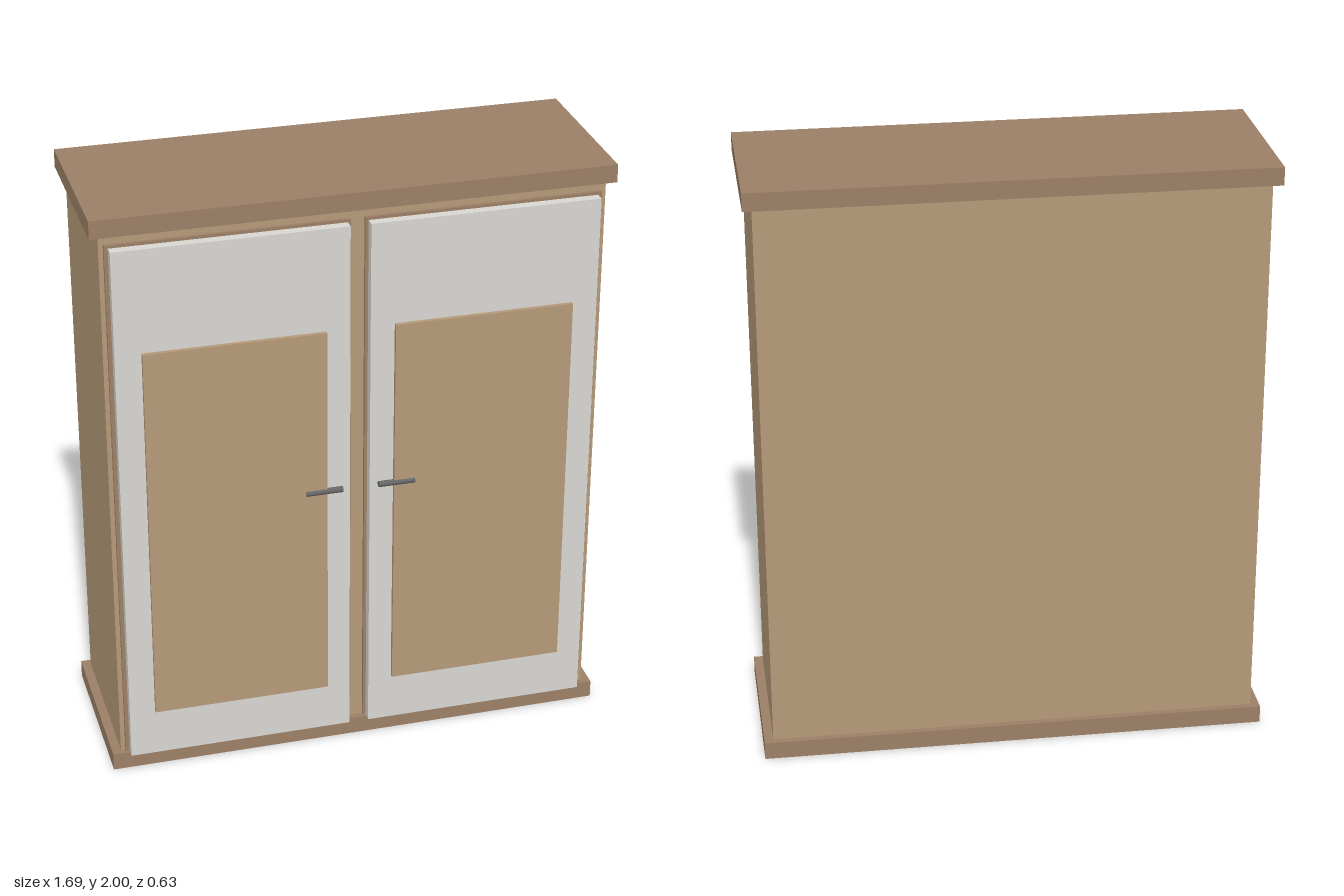
import * as THREE from 'three';

const mat = (color) => new THREE.MeshStandardMaterial({ color });

export function createModel() {
  const group = new THREE.Group();
  const wood = mat(0xb59978), darkWood = mat(0x9c7f66);
  const paint = mat(0xd8d6d1), metal = mat(0x666666);

  // Box given by its minimum and maximum corners
  function box(name, material, [x0, y0, z0], [x1, y1, z1]) {
    const mesh = new THREE.Mesh(new THREE.BoxGeometry(x1 - x0, y1 - y0, z1 - z0), material);
    mesh.position.set((x0 + x1) / 2, (y0 + y1) / 2, (z0 + z1) / 2);
    mesh.name = name;
    group.add(mesh);
    return mesh;
  }

  // Carcass between overhanging plinth and top
  box('plinth', darkWood, [-0.845, 0, -0.316], [0.845, 0.06, 0.275]);
  box('carcass', wood, [-0.815, 0.06, -0.294], [0.815, 1.94, 0.254]);
  box('top', darkWood, [-0.845, 1.94, -0.316], [0.845, 2, 0.275]);

  // Mirrored pair of doors
  for (const s of [-1, 1]) {
    const side = s > 0 ? 'left' : 'right';
    const span = (name, material, xIn, xOut, y0, y1, z0, z1) =>
      box(side + name, material, [Math.min(s * xIn, s * xOut), y0, z0], [Math.max(s * xIn, s * xOut), y1, z1]);

    span('DoorFrame', darkWood, 0.023, 0.8, 0.06, 1.91, 0.254, 0.265);
    span('Door', paint, 0.033, 0.787, 0.06, 1.9, 0.265, 0.297);
    span('DoorPanel', wood, 0.112, 0.702, 0.228, 1.55, 0.297, 0.311);

    // Horizontal bar handle
    const handle = new THREE.Mesh(new THREE.CylinderGeometry(0.01, 0.01, 0.122, 12), metal);
    handle.rotation.z = Math.PI / 2;
    handle.position.set(s * 0.121, 0.981, 0.307);
    handle.name = side + 'Handle';
    group.add(handle);
  }
  return group;
}
